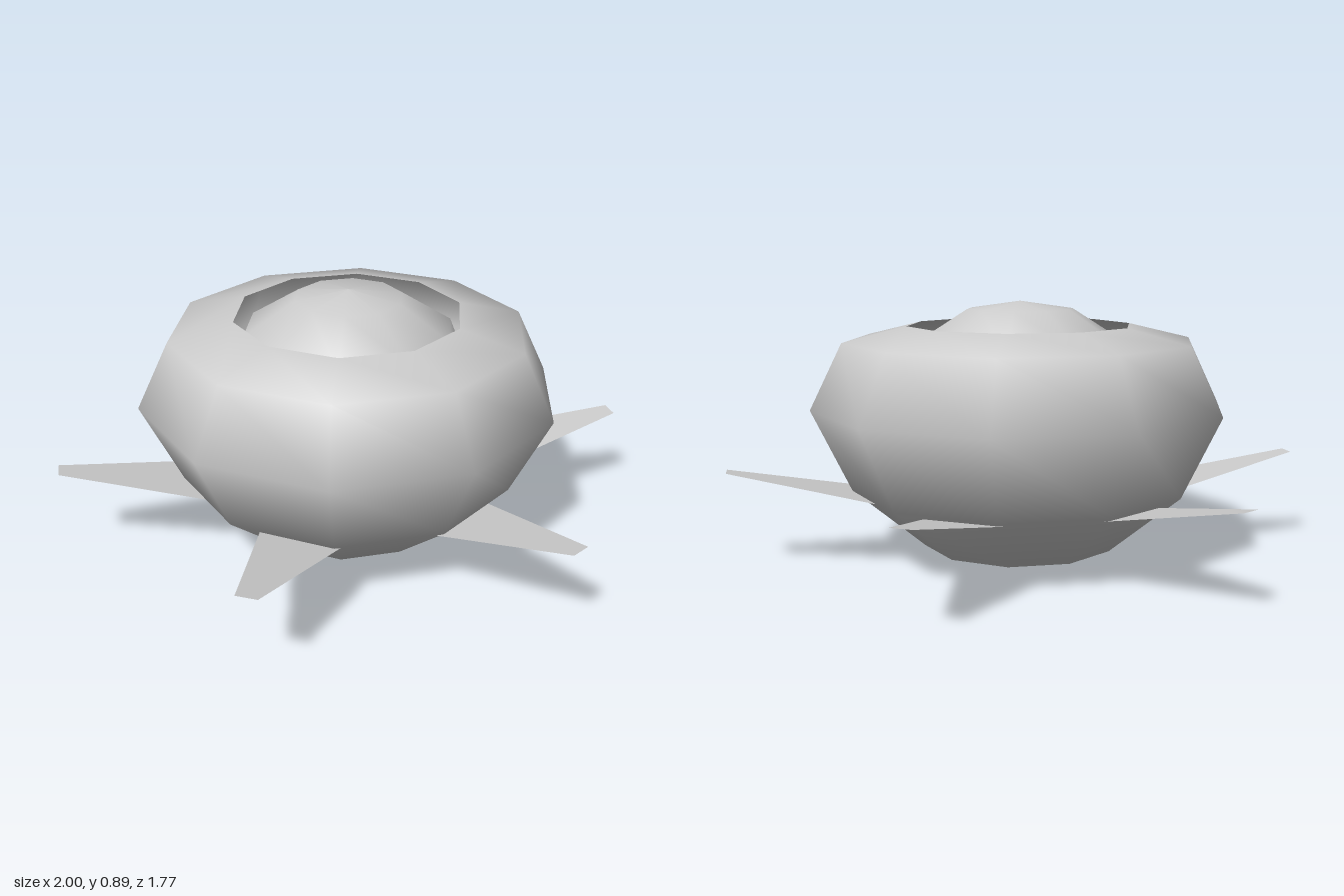
import * as THREE from 'three';

const SIDES = 10;
const material = new THREE.MeshStandardMaterial({ color: 0xcccccc, side: THREE.DoubleSide });

// Ten-sided smooth shell with a corner on the x axis; profile runs bottom to top
function shell(name, profile) {
  const points = profile.map(([r, y]) => new THREE.Vector2(r, y));
  const mesh = new THREE.Mesh(new THREE.LatheGeometry(points, SIDES, Math.PI / 2), material);
  mesh.name = name;
  return mesh;
}

// Thin tapered blade rising outward along +x
function finGeometry() {
  const root = { r: 0.51, y: 0.23, w: 0.145 };
  const tip = { r: 1, y: 0.332, w: 0.035 };
  const geometry = new THREE.BufferGeometry();
  geometry.setAttribute('position', new THREE.Float32BufferAttribute([
    root.r, root.y, root.w,
    tip.r, tip.y, tip.w,
    tip.r, tip.y, -tip.w,
    root.r, root.y, -root.w,
  ], 3));
  geometry.setIndex([0, 1, 2, 0, 2, 3]);
  geometry.computeVertexNormals();
  return geometry;
}

export function createModel() {
  const model = new THREE.Group();
  model.name = 'saucer';

  // Rounded hull, open at the top
  model.add(shell('hull', [
    [0, 0], [0.335, 0.042], [0.585, 0.25], [0.72, 0.53], [0.61, 0.755], [0.39, 0.808],
  ]));

  // Dome nested in the opening
  model.add(shell('dome', [
    [0.42, 0.6], [0.36, 0.752], [0.185, 0.863], [0, 0.89],
  ]));

  // Six fins around the lower hull
  const fins = new THREE.Group();
  fins.name = 'fins';
  const blade = finGeometry();
  for (let i = 0; i < 6; i++) {
    const fin = new THREE.Mesh(blade, material);
    fin.name = 'fin';
    fin.rotation.y = (i * Math.PI) / 3;
    fins.add(fin);
  }
  model.add(fins);

  return model;
}
